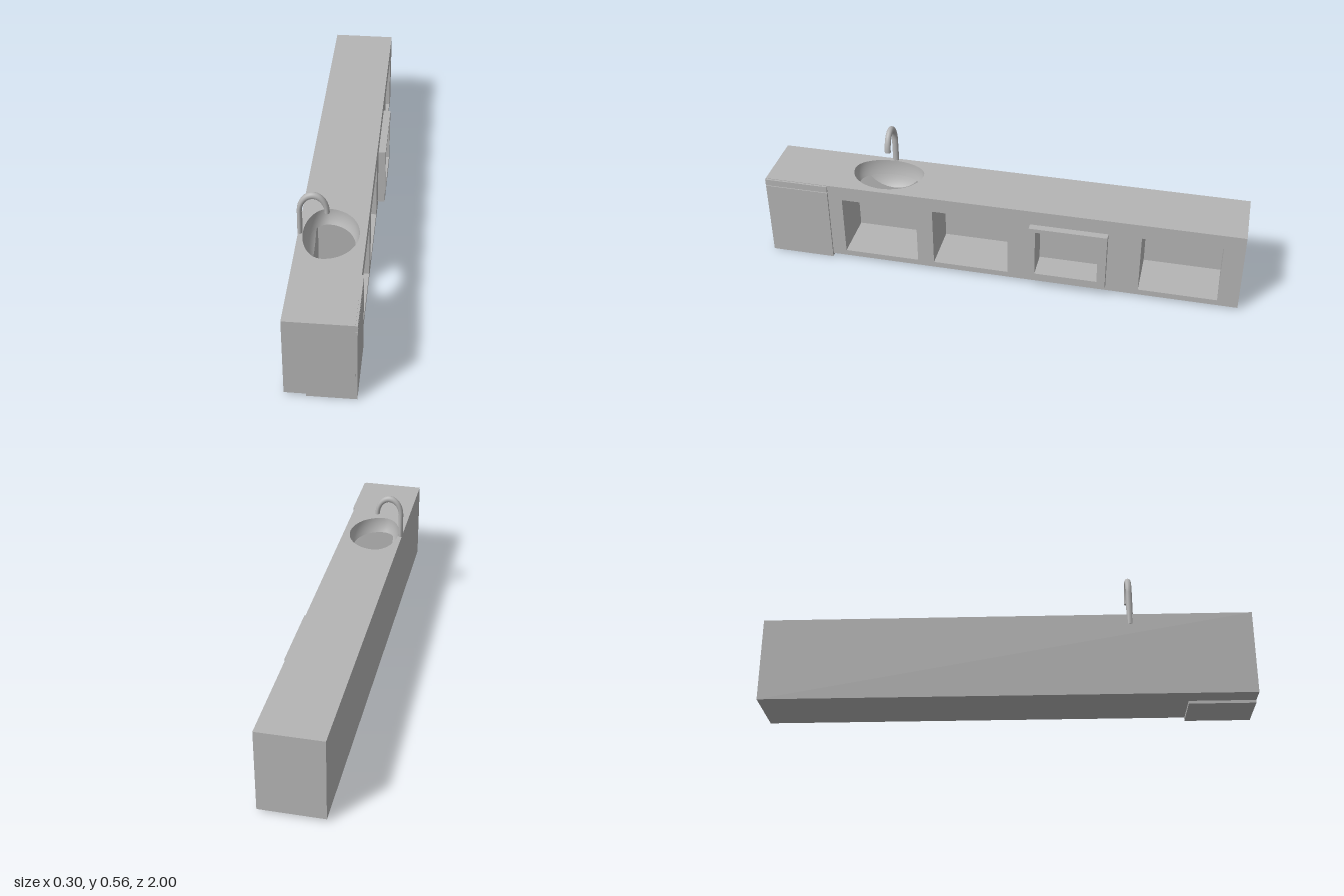
import * as THREE from 'three';

export function createModel() {
  const group = new THREE.Group();
  const grey = new THREE.MeshStandardMaterial({ color: 0xb4b4b4, side: THREE.DoubleSide });
  grey.name = 'plain grey';

  const add = (name, geometry, parent = group) => {
    const mesh = new THREE.Mesh(geometry, grey);
    mesh.name = name;
    parent.add(mesh);
    return mesh;
  };
  const box = (name, x0, x1, y0, y1, z0, z1) =>
    add(name, new THREE.BoxGeometry(x1 - x0, y1 - y0, z1 - z0)
      .translate((x0 + x1) / 2, (y0 + y1) / 2, (z0 + z1) / 2));
  const rect = (u0, u1, v0, v1) => [[u0, v0], [u1, v0], [u1, v1], [u0, v1]];
  const toVec = pts => pts.map(p => new THREE.Vector2(p[0], p[1]));

  // Flat panel across one axis; outlines are (z,y) on x, (x,z) on y, (x,y) on z
  const panel = (name, axis, at, outline, holes = []) => {
    const shape = new THREE.Shape(toVec(outline));
    holes.forEach(h => shape.holes.push(new THREE.Path(toVec(h))));
    const g = new THREE.ShapeGeometry(shape);
    const p = g.attributes.position;
    for (let i = 0; i < p.count; i++) {
      const u = p.getX(i), v = p.getY(i);
      if (axis === 'x') p.setXYZ(i, at, v, u);
      else if (axis === 'y') p.setXYZ(i, u, at, v);
      else p.setXYZ(i, u, v, at);
    }
    g.computeVertexNormals();
    return add(name, g);
  };

  // Surface swept through rows of points
  const sheet = (name, rows, cols, fn) => {
    const pos = [], idx = [];
    for (let i = 0; i <= rows; i++)
      for (let j = 0; j <= cols; j++) pos.push(...fn(i / rows, j / cols));
    for (let i = 0; i < rows; i++)
      for (let j = 0; j < cols; j++) {
        const a = i * (cols + 1) + j, b = a + cols + 1;
        idx.push(a, a + 1, b, a + 1, b + 1, b);
      }
    const g = new THREE.BufferGeometry();
    g.setAttribute('position', new THREE.Float32BufferAttribute(pos, 3));
    g.setIndex(idx);
    g.computeVertexNormals();
    return add(name, g);
  };

  // Cabinet extents and recess depth
  const XB = -0.145, XF = 0.117, Y0 = 0.012, Y1 = 0.364, BACK = -0.088;
  const LOW = 0.037, HIGH = 0.30;

  // Egg-shaped sink bowl that narrows with depth
  const CX = -0.04, CZ = 0.505, RB = 0.087, RF = 0.13, RZ = 0.15, DEPTH = 0.135;
  const scaleAt = y => Math.sqrt(1 - ((Y1 - y) / DEPTH) ** 2);
  const egg = (t, s) => {
    const c = Math.cos(t);
    return [CX + (c > 0 ? RF : RB) * c * s, CZ + RZ * Math.sin(t) * s];
  };
  const cutAngle = y => Math.acos(Math.min(1, (CX - BACK) / (RB * scaleAt(y))));
  const bowlPoint = (t, y) => {
    const [x, z] = egg(t, scaleAt(y));
    return [x, y, z];
  };
  const N = 64;
  const rim = Array.from({ length: N }, (_, i) => egg(i / N * Math.PI * 2, 1));

  // Outer faces
  panel('worktop', 'y', Y1, rect(XB, XF, -1, 1), [rim]);
  panel('underside', 'y', Y0, rect(XB, XF, -1, 1));
  panel('rearFace', 'x', XB, rect(-1, 1, Y0, Y1));
  panel('endFace', 'z', 1, rect(XB, XF, Y0, Y1));
  panel('endFace', 'z', -1, rect(XB, XF, Y0, Y1));

  // Recesses: z0, z1, y0, y1, back, front
  const sinkBay = [0.35, 0.67, LOW, HIGH, BACK, XF];
  const drawerBay = [-0.42, -0.16, 0.072, 0.283, 0.03, 0.147];
  const bays = [sinkBay, [-0.04, 0.28, LOW, HIGH, BACK, XF], drawerBay,
    [-0.915, -0.59, LOW, HIGH, BACK, XF]];
  panel('openFace', 'x', XF, rect(-1, 1, Y0, Y1), bays.map(b => rect(...b.slice(0, 4))));
  for (const b of bays) {
    const [z0, z1, y0, y1, xb, xf] = b;
    panel('recessSide', 'z', z0, rect(xb, xf, y0, y1));
    panel('recessSide', 'z', z1, rect(xb, xf, y0, y1));
    panel('recessFloor', 'y', y0, rect(xb, xf, z0, z1));
    if (b === sinkBay) continue;
    panel('recessCeiling', 'y', y1, rect(xb, xf, z0, z1));
    panel('recessBack', 'x', xb, rect(z0, z1, y0, y1));
  }

  // Sink bay: the bowl breaks through the ceiling and the top of the back wall
  const phi = cutAngle(HIGH), sHigh = scaleAt(HIGH);
  const ceiling = [[BACK, 0.35], [XF, 0.35], [XF, 0.67], [BACK, 0.67]];
  for (let i = 0; i <= 48; i++)
    ceiling.push(egg(Math.PI - phi - i / 48 * 2 * (Math.PI - phi), sHigh));
  panel('sinkBayCeiling', 'y', HIGH, ceiling);

  const lowest = Y1 - DEPTH * Math.sqrt(1 - ((CX - BACK) / RB) ** 2);
  const ease = v => HIGH + (lowest - HIGH) * Math.sin(v * Math.PI / 2);
  const backWall = [[0.35, HIGH], [0.35, LOW], [0.67, LOW], [0.67, HIGH]];
  for (let i = 0; i <= 32; i++) {
    const k = i / 16 - 1, y = ease(1 - Math.abs(k));
    const half = RZ * scaleAt(y) * Math.sin(cutAngle(y));
    backWall.push([CZ - Math.sign(k) * half, y]);
  }
  panel('sinkBayBack', 'x', BACK, backWall);

  sheet('sinkBowl', 6, N, (v, u) => bowlPoint(u * Math.PI * 2, Y1 + (HIGH - Y1) * v));
  sheet('sinkBowlRear', 12, 24, (v, u) => {
    const y = ease(v);
    return bowlPoint(Math.PI + (2 * u - 1) * cutAngle(y), y);
  });

  // Projecting drawer frame
  const frame = new THREE.Shape(toVec(rect(-0.455, -0.133, LOW, HIGH)));
  frame.holes.push(new THREE.Path(toVec(rect(...drawerBay.slice(0, 4)))));
  const frameGeo = new THREE.ExtrudeGeometry(frame, { depth: 0.03, bevelEnabled: false });
  frameGeo.rotateY(-Math.PI / 2).scale(-1, 1, 1);
  // mirroring reverses the corner order, so swap it back
  const fp = frameGeo.attributes.position;
  for (let i = 0; i < fp.count; i += 3) {
    const a = new THREE.Vector3().fromBufferAttribute(fp, i + 1);
    const b = new THREE.Vector3().fromBufferAttribute(fp, i + 2);
    fp.setXYZ(i + 1, b.x, b.y, b.z);
    fp.setXYZ(i + 2, a.x, a.y, a.z);
  }
  frameGeo.computeVertexNormals();
  add('drawerFrame', frameGeo.translate(XF, 0, 0));

  // End unit: door block reaching the ground, and the strip above it
  box('endDoor', -0.063, 0.125, 0, 0.331, 0.73, 0.9995);
  box('endStrip', 0.1, 0.125, 0.334, 0.362, 0.73, 0.9995);

  // Tap: upright pipe and a tall half-ring spout
  const tap = new THREE.Group();
  tap.name = 'tap';
  group.add(tap);
  add('tapPipe', new THREE.CylinderGeometry(0.01, 0.01, 0.147, 24).scale(1, 1, 1.3)
    .translate(-0.138, 0.3955, CZ), tap);
  add('tapSpout', new THREE.TorusGeometry(0.0525, 0.01, 16, 40, Math.PI).scale(1, 1.43, 1.3)
    .translate(-0.0855, 0.466, CZ), tap);
  add('spoutEnd', new THREE.CircleGeometry(0.01, 24).rotateX(Math.PI / 2).scale(1, 1, 1.3)
    .translate(-0.033, 0.466, CZ), tap);

  return group;
}
